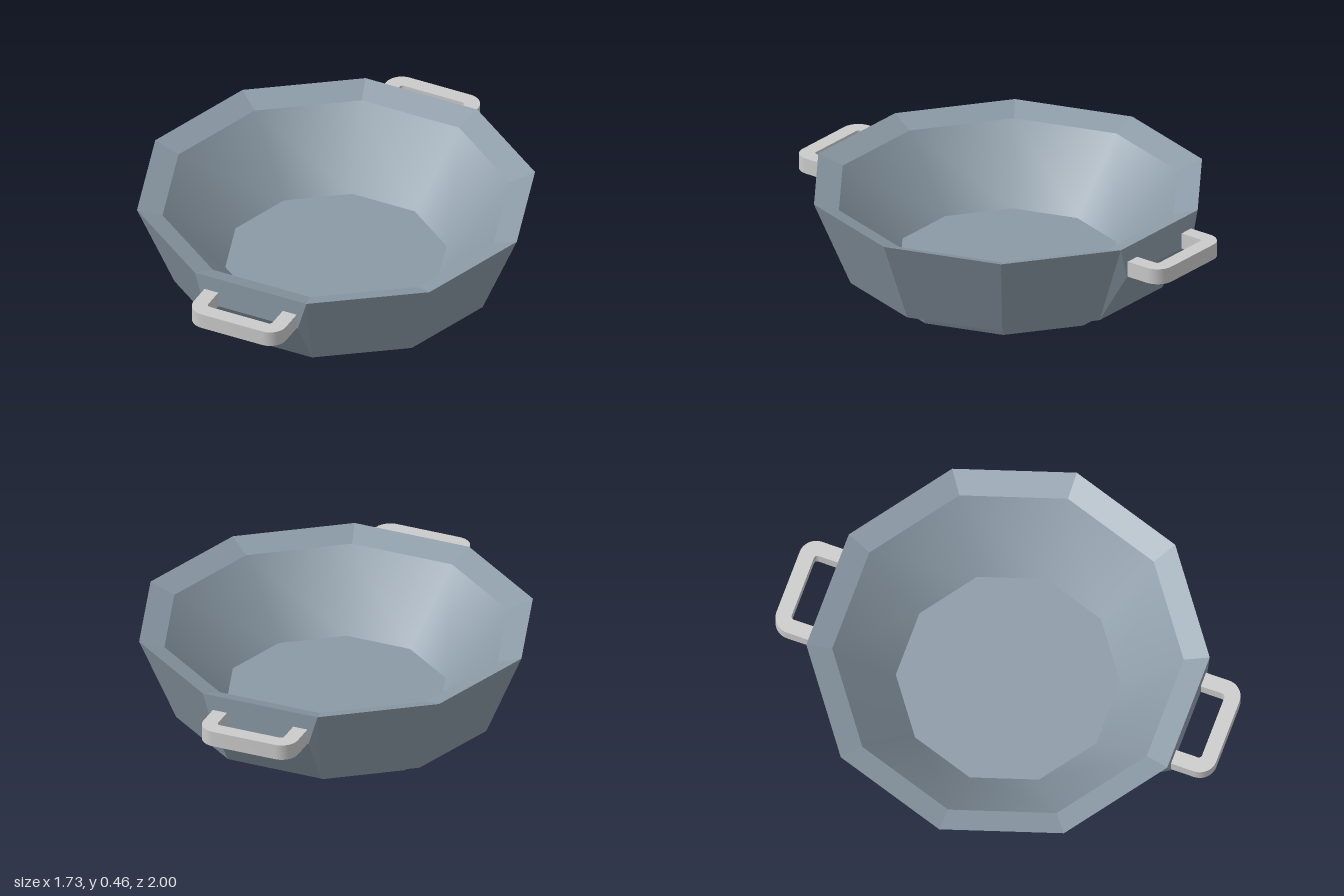
import * as THREE from 'three';
import { toCreasedNormals } from 'three/addons/utils/BufferGeometryUtils.js';

const SIDES = 10;
const STEP = (Math.PI * 2) / SIDES;
const RIM_R = 0.863, RIM_Y = 0.46;
const BASE_R = 0.7, BASE_Y = 0.072;
const LEDGE_Y = 0.32; // underside of the handle mounts
const HANDLE_H = 0.07;

const bluePaint = new THREE.MeshStandardMaterial({ color: 0x8b9aa6, flatShading: true });
const blueSmooth = new THREE.MeshStandardMaterial({ color: 0x8b9aa6 });
const grey = new THREE.MeshStandardMaterial({ color: 0xcccccc });

function addMesh(parent, name, geometry, material) {
  const mesh = new THREE.Mesh(geometry, material);
  mesh.name = name;
  parent.add(mesh);
  return mesh;
}

// Ten-sided turned surface with corners on the x axis
function turned(profile, start = Math.PI / 2, sides = SIDES) {
  const points = profile.map(([r, y]) => new THREE.Vector2(r, y));
  return new THREE.LatheGeometry(points, sides, start, sides * STEP);
}

// Wall facet whose upper part stands upright to carry a handle
function mountGeometry() {
  const s = Math.sin(STEP / 2), c = Math.cos(STEP / 2);
  const z = RIM_R * c;
  const corners = [
    [RIM_R * s, RIM_Y, z], [0.225, LEDGE_Y, z], [BASE_R * s, BASE_Y, BASE_R * c],
  ];
  const vertices = [...corners, ...corners.map(([x, y, d]) => [-x, y, d])].flat();
  const geometry = new THREE.BufferGeometry();
  geometry.setAttribute('position', new THREE.Float32BufferAttribute(vertices, 3));
  geometry.setIndex([
    3, 4, 1, 3, 1, 0, // upright face
    4, 5, 2, 4, 2, 1, // sloping face
    0, 1, 2, 3, 5, 4, // side gussets
  ]);
  const flat = geometry.toNonIndexed();
  flat.computeVertexNormals();
  return flat;
}

// Flat U-shaped bar with rounded corners
function handleGeometry() {
  const w = 0.22, inner = 0.154, z0 = 0.815, z1 = 1, zi = 0.933, r = 0.075, ri = 0.015;
  const shape = new THREE.Shape();
  shape.moveTo(w, z0);
  shape.lineTo(w, z1 - r);
  shape.absarc(w - r, z1 - r, r, 0, Math.PI / 2, false);
  shape.absarc(-w + r, z1 - r, r, Math.PI / 2, Math.PI, false);
  shape.lineTo(-w, z0);
  shape.lineTo(-inner, z0);
  shape.lineTo(-inner, zi - ri);
  shape.absarc(-inner + ri, zi - ri, ri, Math.PI, Math.PI / 2, true);
  shape.absarc(inner - ri, zi - ri, ri, Math.PI / 2, 0, true);
  shape.lineTo(inner, z0);
  const geometry = new THREE.ExtrudeGeometry(shape, {
    depth: HANDLE_H, bevelEnabled: false, curveSegments: 6,
  });
  geometry.rotateX(Math.PI / 2);
  geometry.translate(0, LEDGE_Y + HANDLE_H, 0);
  return toCreasedNormals(geometry, 0.6);
}

export function createModel() {
  const bowl = new THREE.Group();
  bowl.name = 'bowl';

  // Foot and the underside step
  addMesh(bowl, 'foot', turned([[0, 0], [0.575, 0], [0.61, BASE_Y], [BASE_R, BASE_Y]]), bluePaint);

  // Sloping rim band, inner wall and floor
  addMesh(bowl, 'rim', turned([[RIM_R, RIM_Y], [0.752, 0.42]]), bluePaint);
  addMesh(bowl, 'innerWall', turned([[0.752, 0.42], [0.48, 0.12]]), blueSmooth);
  addMesh(bowl, 'floor', turned([[0.48, 0.12], [0, 0.12]]), bluePaint);

  // Each half: four wall facets, a handle mount and its handle
  const wall = turned([[BASE_R, BASE_Y], [RIM_R, RIM_Y]], STEP / 2, 4);
  const mount = mountGeometry();
  const handle = handleGeometry();
  ['front', 'back'].forEach((side, i) => {
    const half = new THREE.Group();
    half.name = side + 'Half';
    half.rotation.y = i * Math.PI;
    addMesh(half, side + 'Wall', wall, bluePaint);
    addMesh(half, side + 'HandleMount', mount, bluePaint);
    addMesh(half, side + 'Handle', handle, grey);
    bowl.add(half);
  });

  return bowl;
}
